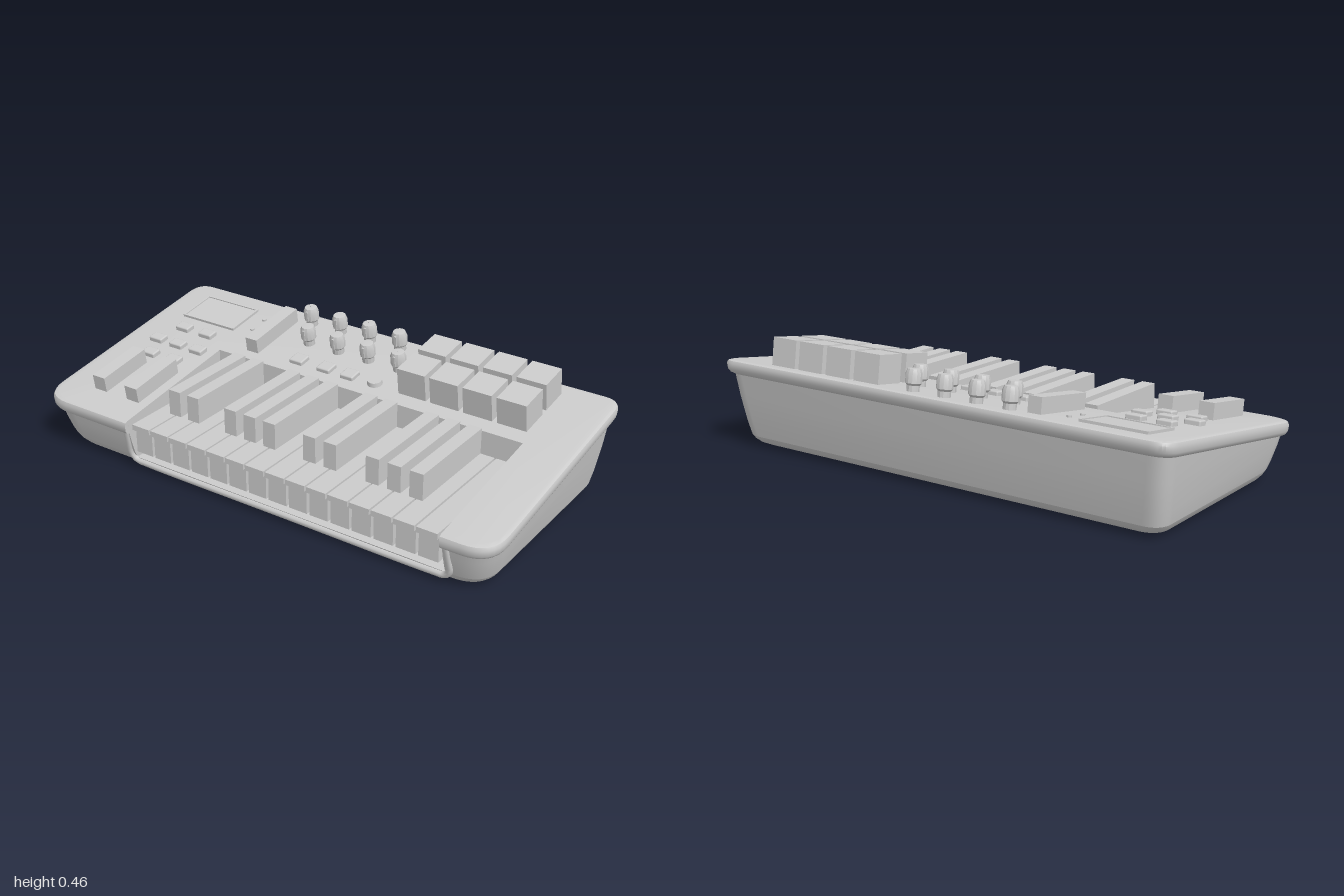
import * as THREE from 'three';
import { toCreasedNormals } from 'three/addons/utils/BufferGeometryUtils.js';
import { RoundedBoxGeometry } from 'three/addons/geometries/RoundedBoxGeometry.js';

const SLOPE = 0.148;
const topY = (z) => 0.288 - SLOPE * z;
const grey = new THREE.MeshStandardMaterial({ color: 0xcccccc });
const shell = new THREE.MeshStandardMaterial({ color: 0xcccccc, side: THREE.DoubleSide });

function add(parent, name, geometry, x = 0, y = 0, z = 0, material = grey) {
  const mesh = new THREE.Mesh(geometry, material);
  mesh.name = name;
  mesh.position.set(x, y, z);
  parent.add(mesh);
  return mesh;
}

// Plan outline drawn in (x, -z); the notch leaves room for the keys
function outline(notched) {
  const s = new THREE.Shape();
  if (notched) {
    s.moveTo(0.8, -0.49);
    s.lineTo(0.88, -0.49);
  } else s.moveTo(0.88, -0.49);
  s.quadraticCurveTo(1, -0.49, 1, -0.38);
  s.lineTo(1, 0.42);
  s.quadraticCurveTo(1, 0.49, 0.93, 0.49);
  s.lineTo(-0.93, 0.49);
  s.quadraticCurveTo(-1, 0.49, -1, 0.42);
  s.lineTo(-1, -0.38);
  s.quadraticCurveTo(-1, -0.49, -0.88, -0.49);
  if (notched) {
    s.lineTo(-0.57, -0.49);
    s.lineTo(-0.57, 0.085);
    s.lineTo(0.8, 0.085);
  }
  return s.getPoints(8);
}

// Stack inset copies of an outline; each ring is [inset, height rule]
function loft(points, rings) {
  const n = points.length, pos = [], index = [];
  for (const [inset, height] of rings) {
    for (const p of points) {
      const x = Math.abs(p.x) > 0.86 ? p.x - Math.sign(p.x) * inset : p.x;
      const back = p.y > 0 ? 1.2 : 1;
      const z = -(Math.abs(p.y) > 0.3 ? p.y - Math.sign(p.y) * inset * back : p.y);
      pos.push(x, height(z), z);
    }
  }
  for (let r = 0; r < rings.length - 1; r++) {
    for (let i = 0; i < n; i++) {
      const a = r * n + i, b = r * n + (i + 1) % n;
      index.push(a, b, b + n, a, b + n, a + n);
    }
  }
  const last = (rings.length - 1) * n;
  for (const [a, b, c] of THREE.ShapeUtils.triangulateShape(points.slice(), [])) {
    index.push(c, b, a, last + a, last + b, last + c);
  }
  const g = new THREE.BufferGeometry();
  g.setAttribute('position', new THREE.Float32BufferAttribute(pos, 3));
  g.setIndex(index);
  return toCreasedNormals(g, 0.7);
}

function buildCase(group) {
  const flat = (y) => () => y;
  const rise = (t) => (z) => THREE.MathUtils.lerp(0.045, topY(z) - 0.04, t);
  const below = (d) => (z) => topY(z) - d;
  add(group, 'caseBottom', loft(outline(false), [
    [0.12, flat(0)], [0.094, flat(0.005)], [0.075, flat(0.016)],
    [0.063, flat(0.03)], [0.055, flat(0.045)],
  ]), 0, 0, 0, shell);
  add(group, 'caseWalls', loft(outline(true), [
    [0.055, rise(0)], [0.045, rise(0.2)], [0.03, rise(0.6)], [0.018, rise(1)],
  ]), 0, 0, 0, shell);
  add(group, 'topPlate', loft(outline(true), [
    [0.022, below(0.058)], [0.008, below(0.05)], [0.002, below(0.038)],
    [0, below(0.015)], [0.004, below(0.004)], [0.014, below(0)],
  ]), 0, 0, 0, shell);

  // Rounded rim around the front opening
  const rim = [[-0.582, 0.2], [-0.588, 0.12], [-0.59, 0.06], [-0.57, 0.034], [-0.52, 0.03],
    [0.1, 0.03], [0.75, 0.03], [0.8, 0.034], [0.82, 0.06], [0.818, 0.12], [0.812, 0.2]]
    .map(([x, y]) => new THREE.Vector3(x, y, 0.426 + 0.24 * y));
  add(group, 'openingRim', new THREE.TubeGeometry(new THREE.CatmullRomCurve3(rim), 80, 0.013, 8));
}

function buildKeys(group) {
  const pitch = 0.0893, left = -0.55;
  const keyTop = new THREE.BoxGeometry(0.082, 0.022, 0.555);
  const keyBody = new THREE.BoxGeometry(0.078, 0.1, 0.535);
  const sharp = new THREE.BoxGeometry(0.054, 0.11, 0.405);
  for (let i = 0; i < 15; i++) {
    const x = left + pitch * (i + 0.5);
    add(group, 'whiteKeyTop', keyTop, x, 0.199, 0.1975);
    add(group, 'whiteKeyBody', keyBody, x, 0.138, 0.19);
  }
  for (const i of [0, 1, 3, 4, 5, 7, 8, 10, 11, 12]) {
    add(group, 'blackKey', sharp, left + pitch * (i + 1), 0.258, 0.122);
  }
}

// Controls stand on the sloping plate, so they share a tilted group
function buildControls(group) {
  const panel = new THREE.Group();
  panel.name = 'controlPanel';
  panel.position.y = topY(0);
  panel.rotation.x = Math.atan(SLOPE);
  group.add(panel);
  const block = (name, x, z, w, h, d) =>
    add(panel, name, new THREE.BoxGeometry(w, h + 0.01, d), x, (h - 0.01) / 2, z * 1.011);

  // Drum pads
  for (const z of [-0.213, -0.364]) {
    for (let i = 0; i < 4; i++) block('drumPad', 0.3 + 0.14 * i, z, 0.12, 0.11, 0.124);
  }

  // Knobs in two staggered rows
  const profile = [[0.001, -0.005], [0.024, -0.005], [0.024, 0.022], [0.031, 0.03],
    [0.031, 0.066], [0.025, 0.082], [0.001, 0.084]].map(([r, y]) => new THREE.Vector2(r, y));
  const knob = toCreasedNormals(new THREE.LatheGeometry(profile, 12), 0.4);
  const pointer = new THREE.BoxGeometry(0.009, 0.045, 0.01);
  for (let i = 0; i < 4; i++) {
    for (const [x, z] of [[-0.345, -0.418], [-0.27, -0.29]]) {
      add(panel, 'knob', knob, x + 0.142 * i, 0, z * 1.011);
      add(panel, 'knobPointer', pointer, x + 0.142 * i, 0.052, z * 1.011 + 0.029);
    }
  }

  // Fader block and the two wheels
  block('fader', -0.44, -0.272, 0.055, 0.06, 0.278);
  for (const x of [-0.808, -0.643]) block('wheel', x, 0.243, 0.06, 0.062, 0.24);

  // Display with a raised frame, and two indicator lights
  block('display', -0.745, -0.315, 0.25, 0.006, 0.16);
  for (const s of [-1, 1]) {
    block('displayFrame', -0.745 + s * 0.129, -0.315, 0.008, 0.01, 0.174);
    block('displayFrame', -0.745, -0.315 + s * 0.083, 0.264, 0.01, 0.008);
  }
  for (const z of [-0.353, -0.27]) {
    add(panel, 'indicatorLight', new THREE.CylinderGeometry(0.009, 0.009, 0.014, 12), -0.545, 0, z * 1.011);
  }

  // Push buttons
  const button = new RoundedBoxGeometry(0.064, 0.034, 0.046, 2, 0.006);
  const rows = [[-0.15, [-0.805, -0.685]], [-0.035, [-0.85, -0.745, -0.642]], [0.065, [-0.805, -0.685]]];
  for (const [z, xs] of rows) {
    for (const x of xs) add(panel, 'button', button, x, 0.002, z * 1.011);
  }
  const square = new RoundedBoxGeometry(0.06, 0.032, 0.058, 2, 0.006);
  for (const x of [-0.23, -0.1, 0.01]) add(panel, 'squareButton', square, x, 0.001, -0.168);
  add(panel, 'roundButton', new THREE.CylinderGeometry(0.028, 0.032, 0.03, 20), 0.125, 0.002, -0.168);
}

export function createModel() {
  const group = new THREE.Group();
  group.name = 'keyboardController';
  buildCase(group);
  buildKeys(group);
  buildControls(group);
  return group;
}
